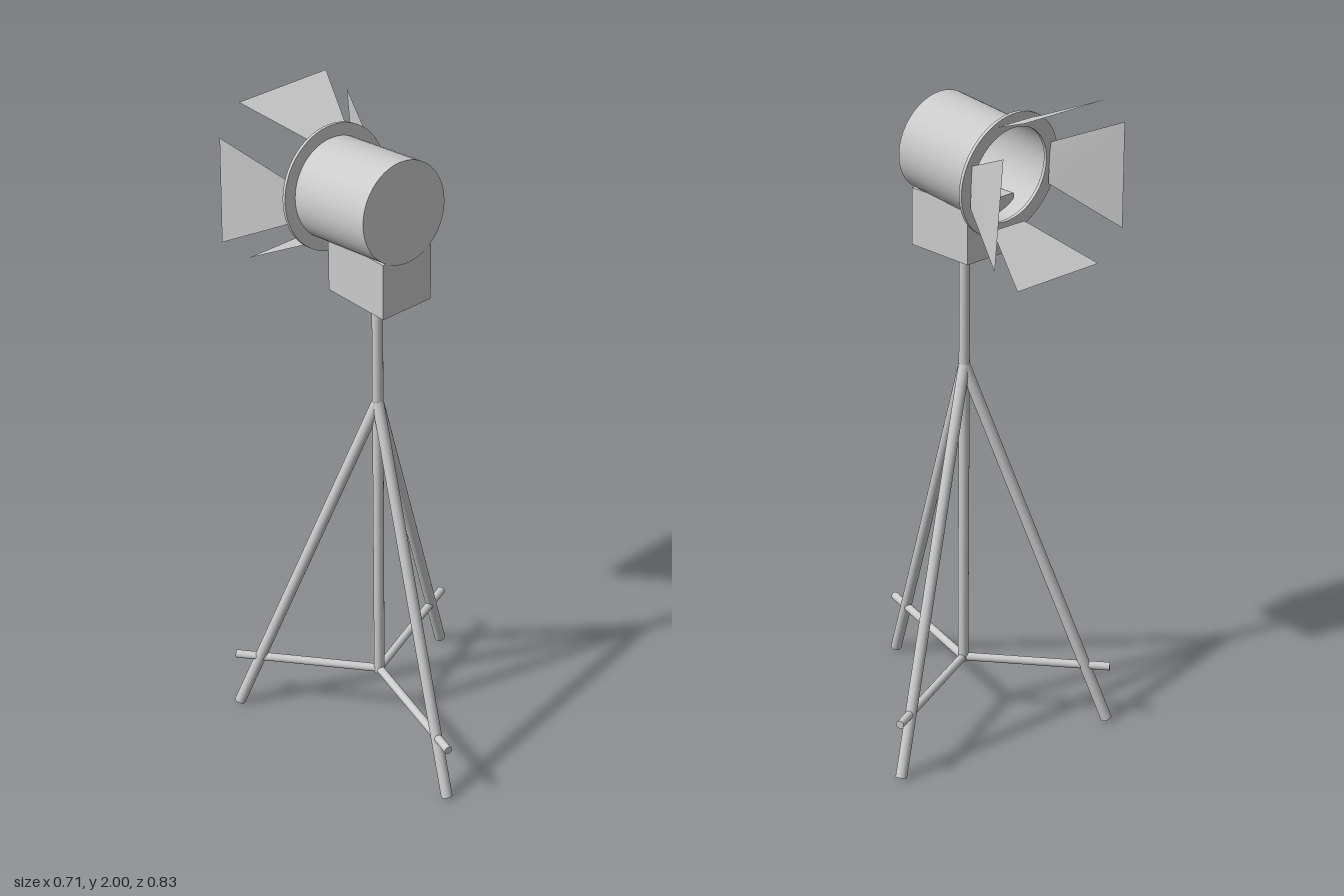
import * as THREE from 'three';

const grey = new THREE.MeshStandardMaterial({ color: 0xcccccc });
const greyThin = new THREE.MeshStandardMaterial({ color: 0xcccccc, side: THREE.DoubleSide });
const POLE_X = -0.103, POLE_Z = 0.39;
const V = (x, y, z) => new THREE.Vector3(x, y, z);

function add(parent, name, geometry, material = grey) {
  const mesh = new THREE.Mesh(geometry, material);
  mesh.name = name;
  parent.add(mesh);
  return mesh;
}

// Round bar between two points
function bar(parent, name, from, to, radius) {
  const dir = to.clone().sub(from);
  const mesh = add(parent, name, new THREE.CylinderGeometry(radius, radius, dir.length(), 20));
  mesh.position.copy(from).addScaledVector(dir, 0.5);
  mesh.quaternion.setFromUnitVectors(V(0, 1, 0), dir.normalize());
}

// Flaring trapezoid flap; local y is outward, -z is the beam direction
function flapGeometry(skew) {
  const near = 0.061, far = 0.157;
  const g = new THREE.BufferGeometry();
  g.setAttribute('position', new THREE.Float32BufferAttribute([
    -near, 0.15, -0.008, near, 0.15, -0.008,
    far, 0.239 + skew, -0.207, -far, 0.239 - skew, -0.207], 3));
  g.setIndex([0, 1, 2, 0, 2, 3]);
  g.computeVertexNormals();
  return g;
}

export function createModel() {
  const model = new THREE.Group();
  model.name = 'studioLampOnTripod';

  // Stand: pole, three splayed legs and level braces
  const stand = new THREE.Group();
  stand.name = 'tripod';
  model.add(stand);
  bar(stand, 'pole', V(POLE_X, 0.175, POLE_Z), V(POLE_X, 1.51, POLE_Z), 0.016);
  for (const [x, z] of [[0.302, 0.226], [-0.377, 0.048], [-0.212, 0.812]]) {
    bar(stand, 'leg', V(x, 0.005, z), V(POLE_X, 1.145, POLE_Z), 0.017);
    const end = V(x, 0.185, z).sub(V(POLE_X, 0.185, POLE_Z)).multiplyScalar(1.015);
    bar(stand, 'brace', V(POLE_X, 0.185, POLE_Z), end.add(V(POLE_X, 0.185, POLE_Z)), 0.0125);
  }

  // Mounting block under the lamp
  add(model, 'mountBlock', new THREE.BoxGeometry(0.176, 0.17, 0.227)).position.set(POLE_X, 1.587, 0.4);

  // Lamp head, tilted slightly down, opening toward -z
  const head = new THREE.Group();
  head.name = 'lampHead';
  head.position.set(POLE_X, 1.765, 0.217);
  head.rotation.x = -0.11;
  model.add(head);
  const length = 0.286, radius = 0.147;
  const housing = add(head, 'housing', new THREE.CylinderGeometry(radius, radius, length, 48, 1, true), greyThin);
  housing.rotation.x = Math.PI / 2;
  housing.position.z = length / 2;
  add(head, 'backCap', new THREE.CircleGeometry(radius, 48), greyThin).position.z = length;

  // Flat collar around the opening
  const ring = new THREE.Shape().absarc(0, 0, 0.183, 0, Math.PI * 2);
  ring.holes.push(new THREE.Path().absarc(0, 0, 0.14, 0, Math.PI * 2, true));
  add(head, 'collar', new THREE.ExtrudeGeometry(ring, { depth: 0.01, bevelEnabled: false, curveSegments: 32 }))
    .position.z = -0.006;

  // Four flaps around the beam
  const flaps = new THREE.Group();
  flaps.name = 'barnDoors';
  flaps.position.copy(head.position);
  flaps.rotation.x = -0.04;
  model.add(flaps);
  for (let i = 0; i < 4; i++) {
    add(flaps, 'flap', flapGeometry(i % 2 ? (i === 1 ? -0.008 : 0.008) : 0), greyThin).rotation.z = i * Math.PI / 2;
  }
  return model;
}
